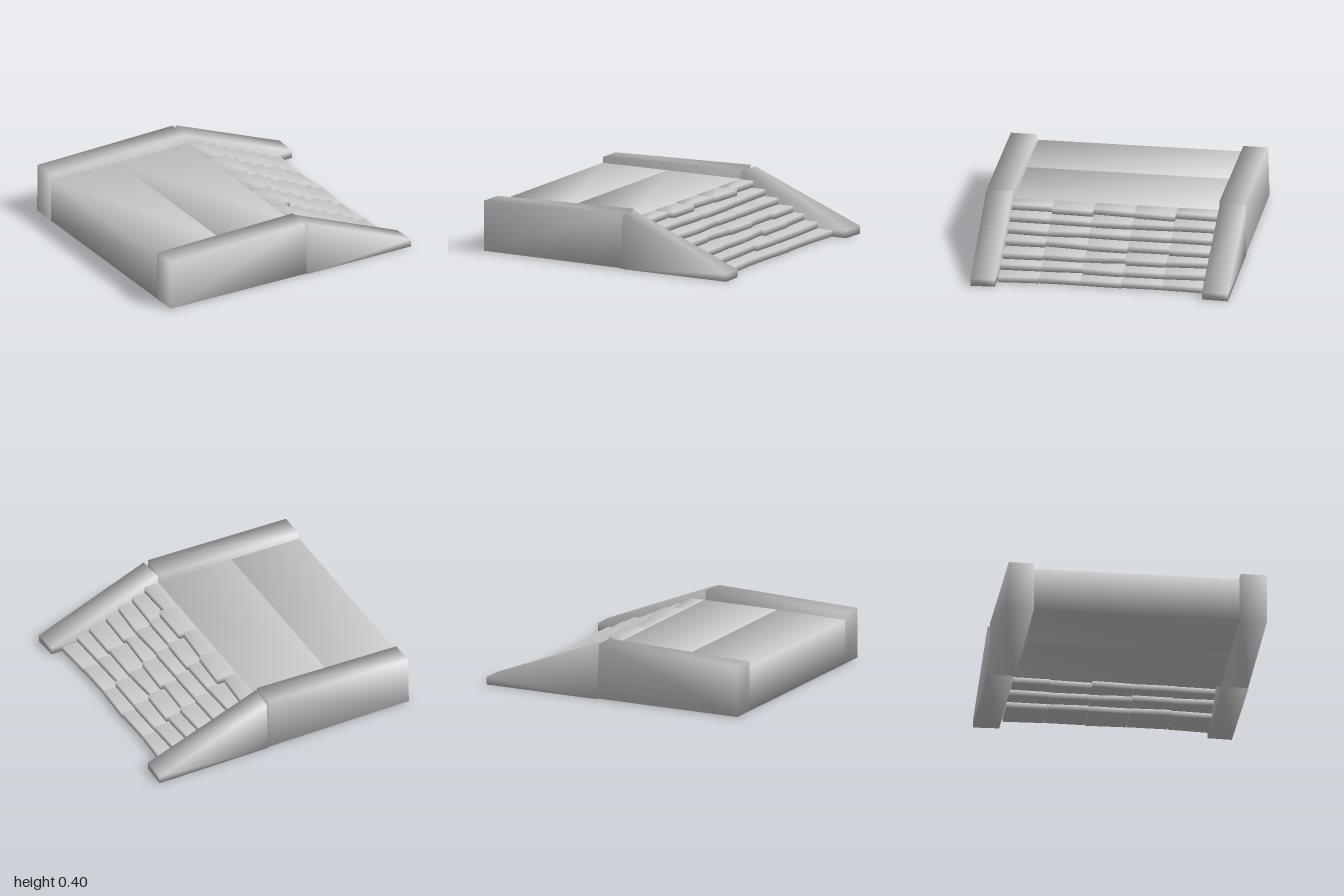
import * as THREE from 'three';

const material = new THREE.MeshStandardMaterial({ color: 0xcccccc });

// Six-sided block with shared corners (soft shading); corner(i, j, k) gives
// the position for the low/high end along x, y and z.
function block(name, corner) {
  const points = [];
  for (let n = 0; n < 8; n++) points.push(...corner(n & 1, (n >> 1) & 1, n >> 2));
  const quads = [[1, 3, 7, 5], [0, 4, 6, 2], [2, 6, 7, 3], [0, 1, 5, 4], [4, 5, 7, 6], [0, 2, 3, 1]];
  const geometry = new THREE.BufferGeometry();
  geometry.setAttribute('position', new THREE.Float32BufferAttribute(points, 3));
  geometry.setIndex(quads.flatMap(([a, b, c, d]) => [a, b, c, a, c, d]));
  geometry.computeVertexNormals();
  const mesh = new THREE.Mesh(geometry, material);
  mesh.name = name;
  return mesh;
}

// Small repeatable unevenness in the range -1..1
function makeJitter(seed) {
  return () => {
    seed = (seed * 16807) % 2147483647;
    return (seed / 2147483647) * 2 - 1;
  };
}

export function createModel() {
  const model = new THREE.Group();
  model.name = 'stonePlatform';

  // Two solid slabs forming the flat deck, slightly narrower at the joint
  model.add(block('outerDeckSlab', (i, j, k) => [
    i ? -0.463 : -1, j ? (i ? 0.335 : 0.325) : 0.005, k ? 0.73 : (i ? -0.715 : -0.735)]));
  model.add(block('innerDeckSlab', (i, j, k) => [
    i ? 0.12 : -0.458, j ? 0.335 : 0.005, k ? 0.73 : (i ? -0.735 : -0.715)]));

  // Level wall and sloping wall along each side
  for (const side of [1, -1]) {
    const name = side > 0 ? 'front' : 'back';
    const reach = side > 0 ? 0.975 : 0.99;
    const isOuter = (k) => (k === 1) === (side > 0);
    model.add(block(name + 'LevelWall', (i, j, k) => [
      i ? (isOuter(k) && j ? 0.107 : 0.117) : -1,
      j ? (i ? 0.4 : 0.367) : 0.005,
      side * (isOuter(k) ? (side < 0 && j ? 0.915 : 0.925) : 0.737)]));
    model.add(block(name + 'SlopingWall', (i, j, k) => [
      i ? reach + (isOuter(k) ? 0.008 : 0) : (j && isOuter(k) ? 0.14 : 0.125),
      j ? (i ? 0.055 : 0.39) : 0,
      side * (isOuter(k) ? (i && side > 0 ? 0.915 : 0.928) : 0.742)]));
  }

  // Front edges of the stair stones, top step first, one row per column
  const columns = [
    [0.23, 0.34, 0.45, 0.57, 0.66, 0.77, 0.875],
    [0.27, 0.35, 0.45, 0.55, 0.68, 0.78, 0.87],
    [0.24, 0.36, 0.45, 0.57, 0.66, 0.78, 0.875],
    [0.27, 0.35, 0.45, 0.54, 0.67, 0.76, 0.87],
    [0.23, 0.34, 0.45, 0.55, 0.68, 0.77, 0.885],
  ];
  const jitter = makeJitter(41);
  const stairs = new THREE.Group();
  stairs.name = 'stairs';
  const width = 1.47 / columns.length;
  const rise = 0.333 / 7;

  // Overlapping thin stones, hollow underneath
  columns.forEach((edges, column) => {
    edges.forEach((edge, step) => {
      const z = -0.735 + column * width;
      const y = (6 - step) * rise;
      const skew = jitter() * 0.008;
      const tilt = jitter() * 0.004;
      stairs.add(block('stairStone', (i, j, k) => [
        i ? edge + (k ? skew : -skew) : Math.max(0.122, edge - 0.23),
        Math.max(0.002, y + (j ? rise - 0.001 : 0.002) + (k ? tilt : -tilt)),
        z + (k ? width - 0.002 : 0.002)]));
    });
  });
  model.add(stairs);
  return model;
}
